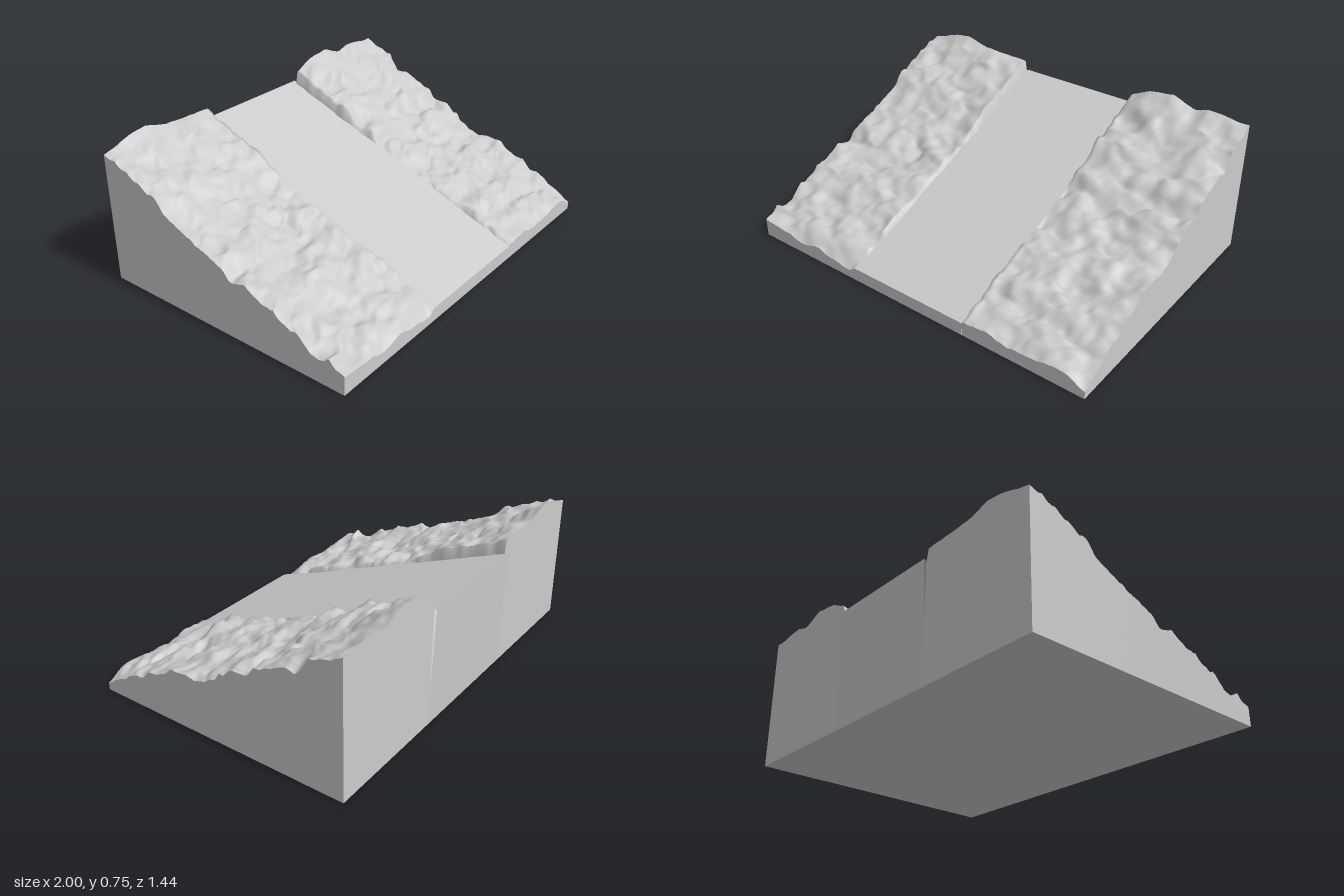
import * as THREE from 'three';

const FRONT = 0.715, BACK = -0.70, ROAD_BACK = -0.722, EDGE = 0.33;
const lerp = THREE.MathUtils.lerp;

// Seeded value noise in the range -1..1
function hash(i, j, seed) {
  const s = Math.sin(i * 127.1 + j * 311.7 + seed * 74.7) * 43758.5453;
  return (s - Math.floor(s)) * 2 - 1;
}
function noise(x, z, seed) {
  const i = Math.floor(x), j = Math.floor(z);
  const fade = t => t * t * (3 - 2 * t);
  const u = fade(x - i), v = fade(z - j);
  return lerp(
    lerp(hash(i, j, seed), hash(i + 1, j, seed), u),
    lerp(hash(i, j + 1, seed), hash(i + 1, j + 1, seed), u), v);
}

// Piecewise linear curve through [position, value] pairs
function curve(points, t) {
  if (t <= points[0][0]) return points[0][1];
  for (let i = 1; i < points.length; i++) {
    const [a, p] = points[i - 1], [b, q] = points[i];
    if (t <= b) return lerp(p, q, (t - a) / (b - a));
  }
  return points[points.length - 1][1];
}

const SLOPE = [[-0.7, 0.69], [-0.4, 0.55], [-0.2, 0.44], [0, 0.345], [0.3, 0.245], [0.5, 0.165], [0.715, 0.077]];
const CREST = [[-1, -0.02], [-0.88, 0.01], [-0.75, 0.045], [-0.62, 0.01], [-0.34, 0],
  [0.34, -0.01], [0.45, 0.03], [0.58, 0.05], [0.7, 0.01], [0.78, 0.025], [1, 0]];

const roadHeight = z => lerp(0.07, 0.622, (FRONT - z) / (FRONT - ROAD_BACK));

function bankHeight(x, z) {
  const rough = 0.026 * noise(x * 7, z * 11, 1) + 0.015 * noise(x * 15, z * 24, 2)
    + 0.006 * noise(x * 32, z * 45, 3);
  const crest = curve(CREST, x) * THREE.MathUtils.smoothstep(-z, 0.45, 0.7);
  const calm = 1 - 0.5 * THREE.MathUtils.smoothstep(-z, 0.55, 0.7);
  return Math.max(0.03, curve(SLOPE, z) + rough * calm + crest);
}

// Surface from a rule fn(u, v); it faces the direction v cross u
function grid(nu, nv, fn) {
  const positions = [], index = [];
  for (let j = 0; j <= nv; j++)
    for (let i = 0; i <= nu; i++) positions.push(...fn(i / nu, j / nv));
  for (let j = 0; j < nv; j++)
    for (let i = 0; i < nu; i++) {
      const a = j * (nu + 1) + i, b = a + nu + 1;
      index.push(a, b, a + 1, b, b + 1, a + 1);
    }
  const geometry = new THREE.BufferGeometry();
  geometry.setAttribute('position', new THREE.Float32BufferAttribute(positions, 3));
  geometry.setIndex(index);
  geometry.computeVertexNormals();
  return geometry;
}

export function createModel() {
  const group = new THREE.Group();
  const material = new THREE.MeshStandardMaterial({ color: 0xcccccc, side: THREE.DoubleSide });
  const add = (name, geometry) => {
    const mesh = new THREE.Mesh(geometry, material);
    mesh.name = name;
    group.add(mesh);
  };
  const NX = 46, NZ = 100;

  // Rocky banks: slightly undercut ripples, with a ragged step down to the road
  const bankPoint = (x, z) => {
    const inner = Math.abs(x) < EDGE + 0.001;
    const free = Math.min(1, (FRONT - z) * 12, (z - BACK) * 12);
    const ripple = 0.014 * noise(x * 11, z * 20, 5) * free;
    const nearEdge = Math.max(0, 1 - (Math.abs(x) - EDGE) / 0.05);
    const wobble = 0.007 * noise(x, z * 25, 7) * nearEdge * Math.sign(x);
    const y = inner ? roadHeight(z) - 0.004 : bankHeight(x, z);
    return [x + wobble, y, z + ripple];
  };
  for (const [name, from, to] of [['rightBank', -1, -EDGE], ['leftBank', EDGE, 1]]) {
    const topAt = (u, z) => bankPoint(lerp(from, to, u), z);
    add(name, grid(NX, NZ, (u, v) => topAt(u, lerp(BACK, FRONT, v))));
    // End walls below the bank
    add(name + 'FrontWall', grid(NX, 1, (u, v) => {
      const [x, y, z] = topAt(1 - u, FRONT);
      return [x, y * v, z];
    }));
    add(name + 'BackWall', grid(NX, 1, (u, v) => {
      const [x, y, z] = topAt(u, BACK);
      return [x, y * v, z];
    }));
  }

  // Smooth road between the banks, with its own end walls
  add('road', grid(1, 1, (u, v) => {
    const z = lerp(ROAD_BACK, FRONT, v);
    return [lerp(-EDGE - 0.012, EDGE + 0.012, u), roadHeight(z), z];
  }));
  add('roadFrontWall', grid(1, 1, (u, v) => [lerp(EDGE, -EDGE, u), v * 0.07, FRONT]));
  add('roadBackWall', grid(1, 1, (u, v) =>
    [lerp(-EDGE - 0.012, EDGE + 0.012, u), v * 0.622, lerp(BACK, ROAD_BACK, v)]));

  // Outer side walls follow the rough edge of each bank
  for (const side of [-1, 1])
    add(side > 0 ? 'leftWall' : 'rightWall', grid(NZ, 1, (u, v) => {
      const [x, y, z] = bankPoint(side, side > 0 ? lerp(BACK, FRONT, u) : lerp(FRONT, BACK, u));
      return [x, y * v, v ? z : (side > 0 ? lerp(BACK, FRONT, u) : lerp(FRONT, BACK, u))];
    }));

  // Flat underside
  add('base', grid(1, 1, (u, v) => [lerp(-1, 1, v), 0, lerp(BACK, FRONT, u)]));
  return group;
}
